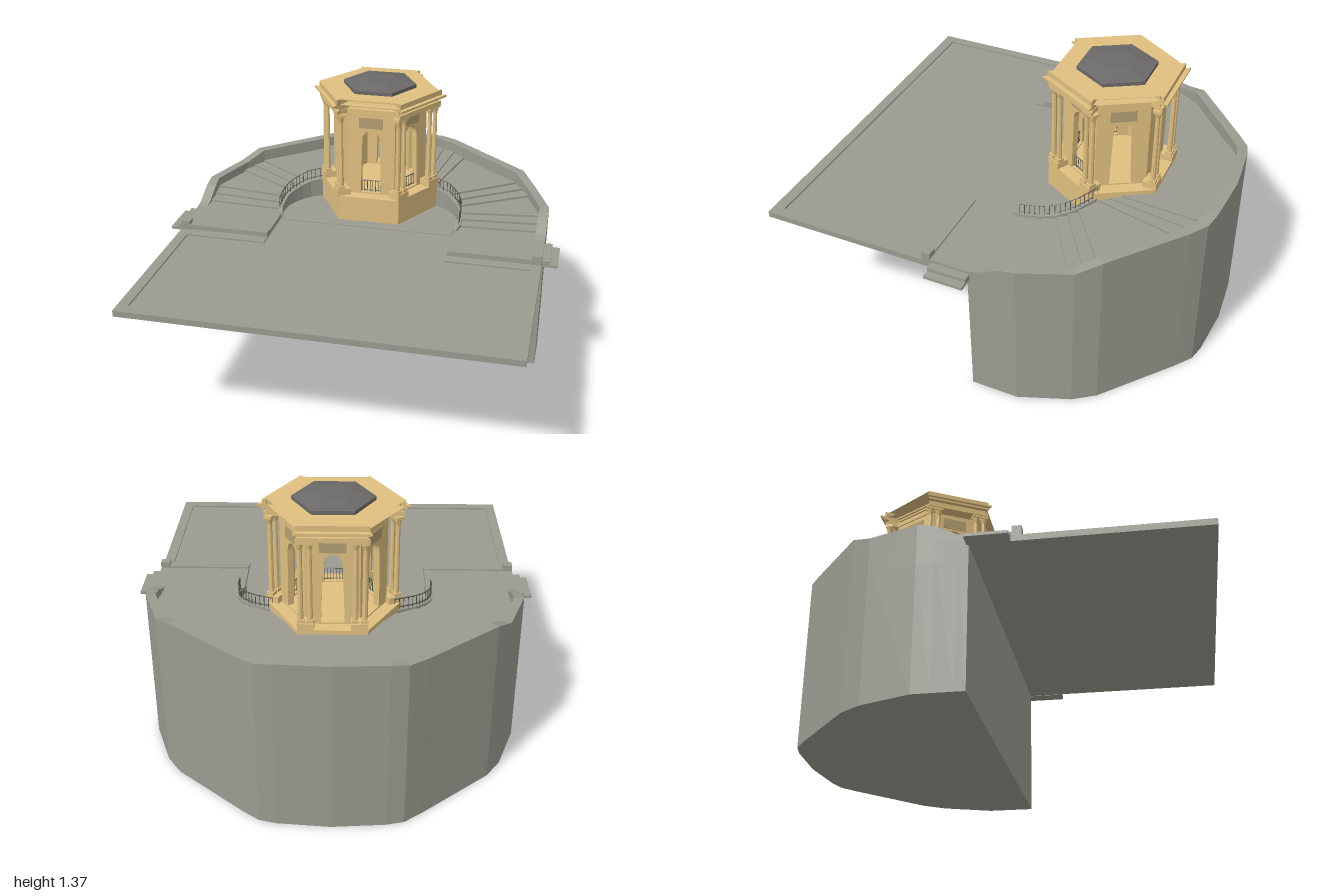
import * as THREE from 'three';
import { ConvexGeometry } from 'three/addons/geometries/ConvexGeometry.js';

const mat = (color) => new THREE.MeshStandardMaterial({ color, flatShading: true, side: THREE.DoubleSide });
const stone = mat(0x9c9b91), gold = mat(0xe0c080), slate = mat(0x6c6a69), panelTone = mat(0xb39f72), iron = mat(0x55544e);

function add(parent, name, geometry, material) {
  const mesh = new THREE.Mesh(geometry, material);
  mesh.name = name;
  parent.add(mesh);
  return mesh;
}

// Box given by its limits
function box(parent, name, x0, x1, y0, y1, z0, z1, material) {
  const mesh = add(parent, name, new THREE.BoxGeometry(x1 - x0, y1 - y0, z1 - z0), material);
  mesh.position.set((x0 + x1) / 2, (y0 + y1) / 2, (z0 + z1) / 2);
  return mesh;
}

// Plan outline of [x, z] points raised from y0 to y1, with an optional hole
function slab(parent, name, outline, y0, y1, material, hole) {
  const pts = (list) => list.map(([x, z]) => new THREE.Vector2(x, -z));
  const shape = new THREE.Shape(pts(outline));
  if (hole) shape.holes.push(new THREE.Path(pts(hole)));
  const geo = new THREE.ExtrudeGeometry(shape, { depth: y1 - y0, bevelEnabled: false });
  geo.rotateX(-Math.PI / 2);
  geo.translate(0, y0, 0);
  return add(parent, name, geo, material);
}

// Run of wall blocks between two plan paths, the top following a list of heights
function wallRun(parent, name, a, b, heights, y0) {
  for (let i = 0; i < a.length - 1; i++) {
    const pts = [];
    for (const [p, h] of [[a[i], heights[i]], [b[i], heights[i]], [a[i + 1], heights[i + 1]], [b[i + 1], heights[i + 1]]])
      pts.push(new THREE.Vector3(p[0], y0, p[1]), new THREE.Vector3(p[0], h, p[1]));
    add(parent, name, new ConvexGeometry(pts), stone);
  }
}

// Handrail with thin balusters along 3D points
function railing(parent, points, height, spacing) {
  const rail = new THREE.Group();
  rail.name = 'railing';
  const path = new THREE.CurvePath();
  const v = points.map((p) => new THREE.Vector3(...p));
  for (let i = 1; i < v.length; i++) path.add(new THREE.LineCurve3(v[i - 1], v[i]));
  const n = Math.max(2, Math.round(path.getLength() / spacing));
  for (let i = 0; i <= n; i++) {
    const p = path.getPoint(i / n);
    add(rail, 'baluster', new THREE.CylinderGeometry(0.0018, 0.0018, height, 4), iron)
      .position.set(p.x, p.y + height / 2, p.z);
  }
  for (const y of [0.012, height])
    add(rail, 'handrail', new THREE.TubeGeometry(path, n * 2, 0.0028, 4), iron).position.y = y;
  parent.add(rail);
}

const mirrorX = (list) => list.map(([x, z]) => [-x, z]);
const hexagon = (r) => [0, 1, 2, 3, 4, 5].map((k) => [r * Math.cos(k * Math.PI / 3), r * Math.sin(k * Math.PI / 3)]);

// Three projecting faces alternating with three recessed faces
function star(r, recess = 0.65) {
  const pts = [];
  for (let k = 0; k < 6; k++) {
    const a = k * Math.PI / 3, out = k % 2 === 1;
    const d = out ? r * 0.866 : r * recess, w = out ? r * 0.5 : r * 0.38;
    for (const s of [-w, w]) pts.push([d * Math.sin(a) + s * Math.cos(a), d * Math.cos(a) - s * Math.sin(a)]);
  }
  return pts;
}

function buildTerrace(root) {
  const outer = [[0.9, -0.05], [0.9, -0.1], [0.9, -0.2], [0.9, -0.28], [0.81, -0.52], [0.74, -0.62], [0.41, -0.9], [0.33, -0.96], [0.25, -0.98], [0, -1]];
  const inner = [[0.85, -0.05], [0.85, -0.1], [0.85, -0.2], [0.855, -0.27], [0.77, -0.5], [0.7, -0.59], [0.38, -0.86], [0.31, -0.91], [0.24, -0.93], [0, -0.945]];
  const tops = [0.715, 0.725, 0.775, 0.79, 0.795, 0.835, 0.84, 0.845, 0.855, 0.86];

  // Tall D-shaped base
  slab(root, 'base', [...outer, ...mirrorX(outer).reverse()], 0, 0.695, stone);

  // Forecourt deck with a raised rim
  box(root, 'deck', -0.9, 0.9, 0.67, 0.692, -0.05, 1, stone);
  box(root, 'deckRimFront', -0.9, 0.9, 0.67, 0.7, 0.945, 1, stone);

  // Radial step lines from the court edge to the parapet
  const stepIn = [[0.46, -0.06], [0.475, -0.11], [0.475, -0.165], [0.47, -0.22], [0.45, -0.28], [0.42, -0.325], [0.385, -0.365], [0.29, -0.42], [0.26, -0.435], [0.23, -0.44], [0, -0.44]];
  const stepOut = [[0.87, -0.06], [0.87, -0.13], [0.87, -0.2], [0.87, -0.27], [0.795, -0.485], [0.765, -0.55], [0.72, -0.6], [0.395, -0.875], [0.33, -0.93], [0.265, -0.95], [0, -0.97]];
  const floors = [0.716, 0.726, 0.737, 0.748, 0.758, 0.768, 0.778, 0.788, 0.796, 0.804];

  for (const side of [1, -1]) {
    const m = (list) => (side > 0 ? list : mirrorX(list));
    const sideBox = (name, x0, x1, ...rest) => box(root, name, side > 0 ? x0 : -x1, side > 0 ? x1 : -x0, ...rest, stone);
    wallRun(root, 'parapet', m(outer), m(inner), tops, 0.6);
    const a = m(stepIn), b = m(stepOut);
    floors.forEach((h, i) => wallRun(root, 'fanStep', a.slice(i, i + 2), b.slice(i, i + 2), [h, h], 0.65));

    // Curb and railing along the court edge
    const edge = stepIn.slice(0, 9);
    const curbTops = edge.map((p, i) => floors[i] + 0.008);
    wallRun(root, 'curb', m(edge.map(([x, z], i) => [x - 0.02, z + (i > 3 ? 0.018 : 0)])), m(edge), curbTops, 0.65);
    railing(root, edge.slice(1, 8).map(([x, z], i) => [side * (x - 0.008), curbTops[i + 1], z + 0.006]), 0.055, 0.024);

    // Side landing, its low wall and outside steps
    sideBox('landing', 0.45, 0.9, 0.67, 0.716, -0.06, 0.135);
    sideBox('landingWall', 0.45, 0.9, 0.67, 0.724, 0.135, 0.175);
    sideBox('landingPost', 0.855, 0.9, 0.67, 0.745, 0.135, 0.178);
    sideBox('lowerSideStep', 0.9, 0.975, 0.668, 0.682, -0.06, 0.13);
    sideBox('upperSideStep', 0.9, 0.938, 0.682, 0.7, -0.06, 0.13);
    sideBox('deckRimSide', 0.85, 0.9, 0.67, 0.7, 0.17, 0.96);
    sideBox('deckRimBack', 0.45, 0.9, 0.67, 0.7, 0.17, 0.23);
  }
}

function buildTower(root) {
  const tower = new THREE.Group();
  tower.name = 'tower';
  tower.position.z = -0.385;
  root.add(tower);

  slab(tower, 'towerBase', hexagon(0.312), 0.67, 0.825, gold);

  for (let k = 0; k < 6; k++) {
    const face = new THREE.Group();
    face.name = k % 2 ? 'porticoFace' : 'recessedFace';
    face.rotation.y = k * Math.PI / 3;
    tower.add(face);

    // Wall with a tall, slightly tapered arched opening
    const wall = new THREE.Shape([[-0.122, 0.82], [0.122, 0.82], [0.122, 1.265], [-0.122, 1.265]].map((p) => new THREE.Vector2(...p)));
    const arch = new THREE.Path();
    arch.moveTo(-0.053, 0.832);
    arch.lineTo(-0.044, 1.12);
    arch.quadraticCurveTo(-0.04, 1.165, 0, 1.17);
    arch.quadraticCurveTo(0.04, 1.165, 0.044, 1.12);
    arch.lineTo(0.053, 0.832);
    wall.holes.push(arch);
    add(face, 'wall', new THREE.ExtrudeGeometry(wall, { depth: 0.03, bevelEnabled: false, curveSegments: 5 }), gold).position.z = 0.181;
    box(face, 'panel', -0.06, 0.06, 1.18, 1.235, 0.205, 0.214, panelTone);

    if (k % 2) {
      // Paired columns on plinths
      for (const s of [-1, 1]) {
        box(face, 'plinth', s * 0.12 - 0.038, s * 0.12 + 0.038, 0.82, 0.858, 0.205, 0.272, gold);
        for (const x of [0.1, 0.142]) {
          const column = new THREE.Group();
          column.name = 'column';
          column.position.set(s * x, 0, 0.25);
          add(column, 'shaft', new THREE.CylinderGeometry(0.0105, 0.013, 0.38, 8), gold).position.y = 1.055;
          box(column, 'columnFoot', -0.017, 0.017, 0.858, 0.874, -0.017, 0.017, gold);
          add(column, 'capital', new THREE.CylinderGeometry(0.019, 0.011, 0.03, 8), gold).position.y = 1.232;
          box(column, 'abacus', -0.019, 0.019, 1.245, 1.26, -0.019, 0.019, gold);
          face.add(column);
        }
      }
    }
    if (k === 0 || k === 1 || k === 5) railing(face, [[-0.05, 0.828, 0.195], [0.05, 0.828, 0.195]], 0.065, 0.014);
  }

  // Entablature, flaring cornice and roof
  slab(tower, 'architrave', star(0.315, 0.69), 1.257, 1.28, gold);
  slab(tower, 'frieze', star(0.3), 1.28, 1.297, gold);
  slab(tower, 'corniceLower', star(0.325), 1.293, 1.302, gold);
  slab(tower, 'corniceUpper', star(0.342), 1.302, 1.312, gold);
  slab(tower, 'roofParapet', star(0.318), 1.31, 1.338, gold, star(0.295));
  slab(tower, 'roofDeck', star(0.297), 1.31, 1.333, slate);
  slab(tower, 'roofCurb', hexagon(0.188), 1.33, 1.356, slate);
  const cap = add(tower, 'roofCap', new THREE.CylinderGeometry(0.09, 0.188, 0.018, 6), slate);
  cap.rotation.y = Math.PI / 6;
  cap.position.y = 1.365;
}

export function createModel() {
  const root = new THREE.Group();
  root.name = 'terracePavilion';
  buildTerrace(root);
  buildTower(root);
  return root;
}
